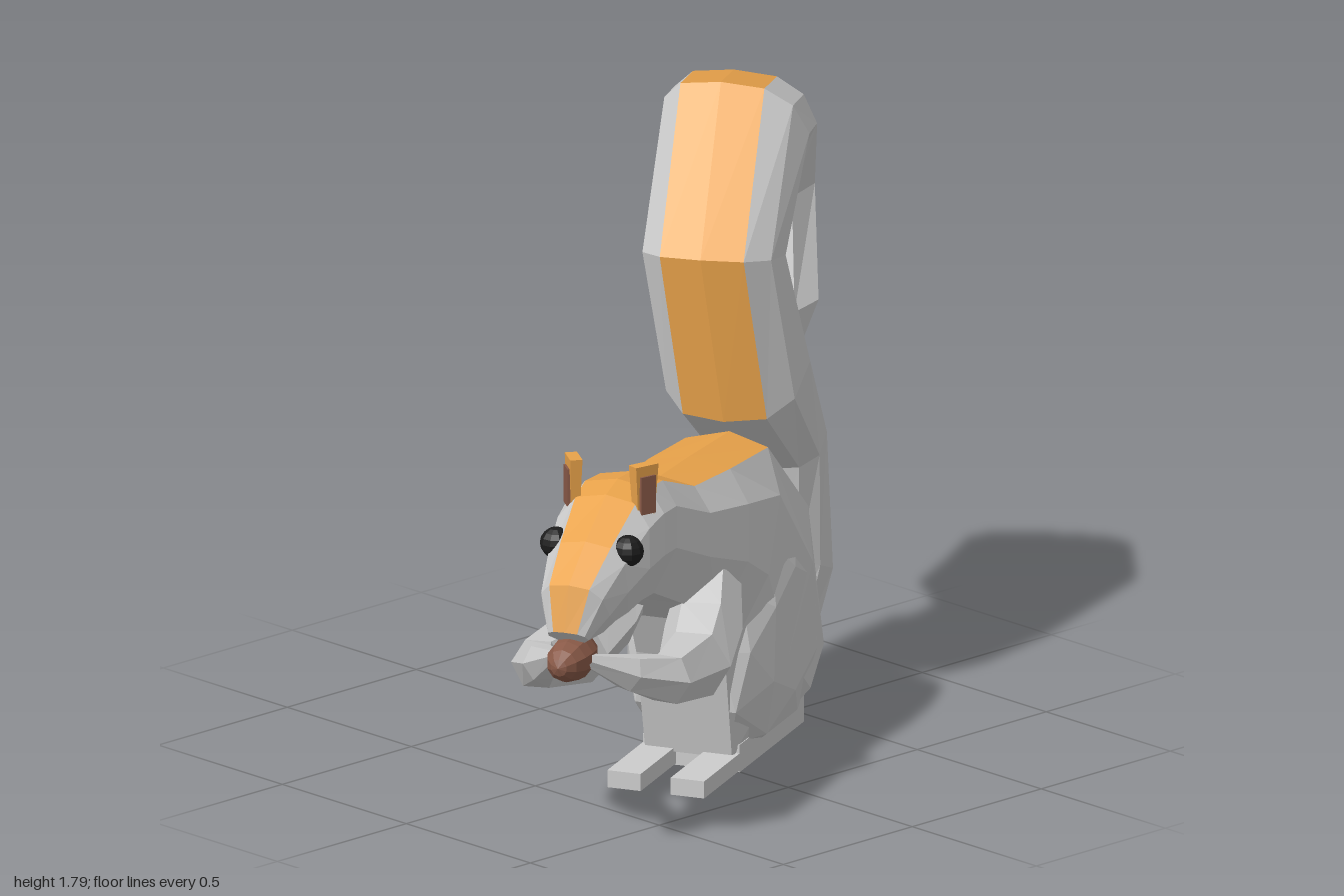
import * as THREE from 'three';

const mat = (color) => new THREE.MeshStandardMaterial({ color, flatShading: true });
const GREY = mat(0xcccccc), ORANGE = mat(0xe8a24a), BROWN = mat(0x8a5a48), BLACK = mat(0x1c1c1c);

function add(parent, name, geometry, material, pos = [0, 0, 0], scale = [1, 1, 1]) {
  const mesh = new THREE.Mesh(geometry, material);
  mesh.name = name;
  mesh.position.set(...pos);
  mesh.scale.set(...scale);
  parent.add(mesh);
}

function facets(points) {
  const g = new THREE.BufferGeometry().setFromPoints(points);
  g.computeVertexNormals();
  return g;
}

// Ring outline from the ridge: [share of half width, share of the way from outer to inner edge]
const half = [[0.6, 0.05], [0.92, 0.25], [1, 0.6], [0.65, 1]];
const OUTLINE = [[0, 0], ...half, ...half.map(([s, t]) => [-s, t]).reverse()];

// Skins rings given as [outer point, inner point, half width];
// the bands beside the ridge from ring stripeFrom onwards become a coloured stripe.
function loft(parent, name, sections, side, stripeFrom) {
  const rings = sections.map(([o, i, w]) => {
    const outer = new THREE.Vector3(...o), inner = new THREE.Vector3(...i);
    return OUTLINE.map(([s, t]) => outer.clone().lerp(inner, t).addScaledVector(side, s * w));
  });
  const grey = [], stripe = [], n = OUTLINE.length;
  for (let i = 0; i < rings.length - 1; i++) {
    for (let j = 0; j < n; j++) {
      const k = (j + 1) % n;
      const a = rings[i][j], b = rings[i][k], c = rings[i + 1][k], d = rings[i + 1][j];
      const onRidge = j === 0 || k === 0;
      (onRidge && i >= stripeFrom ? stripe : grey).push(a, b, c, a, c, d);
    }
  }
  // End caps
  const first = rings[0], last = rings[rings.length - 1];
  for (let j = 1; j < n - 1; j++) {
    grey.push(first[0], first[j + 1], first[j], last[0], last[j], last[j + 1]);
  }
  add(parent, name, facets(grey), GREY);
  add(parent, name + 'Stripe', facets(stripe), ORANGE);
}

// Tapered limb through [x, y, z, radius] joints, six-sided
function limb(parent, name, joints) {
  const rings = joints.map(([x, y, z, r], i) => {
    const p = new THREE.Vector3(x, y, z);
    const prev = joints[Math.max(i - 1, 0)], next = joints[Math.min(i + 1, joints.length - 1)];
    const dir = new THREE.Vector3(next[0] - prev[0], next[1] - prev[1], next[2] - prev[2]).normalize();
    const across = new THREE.Vector3().crossVectors(dir, new THREE.Vector3(0, 1, 0)).normalize();
    const up = new THREE.Vector3().crossVectors(across, dir);
    return Array.from({ length: 6 }, (_, k) => {
      const a = (k * Math.PI) / 3;
      return p.clone().addScaledVector(across, Math.cos(a) * r).addScaledVector(up, Math.sin(a) * r);
    });
  });
  const pts = [];
  for (let i = 0; i < rings.length - 1; i++) {
    for (let j = 0; j < 6; j++) {
      const k = (j + 1) % 6;
      const a = rings[i][j], b = rings[i][k], c = rings[i + 1][k], d = rings[i + 1][j];
      pts.push(a, c, b, a, d, c);
    }
  }
  add(parent, name, facets(pts), GREY);
}

// Faceted ball with flat cheeks, wider towards the ground
function haunchGeometry() {
  const g = new THREE.IcosahedronGeometry(1, 1);
  const p = g.attributes.position;
  for (let i = 0; i < p.count; i++) {
    const y = p.getY(i);
    p.setX(i, p.getX(i) * (y < 0 ? 1 - 0.35 * y : 1));
    p.setZ(i, THREE.MathUtils.clamp(p.getZ(i) * 1.3, -1, 1));
  }
  g.computeVertexNormals();
  return g;
}

export function createModel() {
  const model = new THREE.Group();
  model.name = 'squirrel';

  // Body frame: head towards -x, turned about the vertical
  const body = new THREE.Group();
  body.name = 'bodyGroup';
  body.position.z = 0.145;
  body.rotation.y = THREE.MathUtils.degToRad(25);
  model.add(body);

  // Head, back and rump in one skin
  loft(body, 'body', [
    [[-1.05, 0.69, 0], [-1.0, 0.65, 0], 0.06],
    [[-1.02, 0.82, 0], [-0.92, 0.66, 0], 0.1],
    [[-0.89, 0.91, 0], [-0.87, 0.68, 0], 0.125],
    [[-0.73, 1.0, 0], [-0.81, 0.69, 0], 0.15],
    [[-0.64, 1.02, 0], [-0.72, 0.7, 0], 0.16],
    [[-0.53, 1.01, 0], [-0.62, 0.69, 0], 0.155],
    [[-0.31, 0.93, 0], [-0.42, 0.6, 0], 0.175],
    [[-0.08, 0.92, 0], [-0.21, 0.48, 0], 0.205],
    [[0.2, 0.91, 0.01], [-0.15, 0.35, 0], 0.205],
    [[0.43, 0.68, 0.05], [-0.09, 0.05, 0], 0.2],
    [[0.48, 0.32, 0.05], [0.2, 0.03, 0], 0.19],
    [[0.48, 0.2, 0.04], [0.4, 0.03, 0], 0.14],
  ], new THREE.Vector3(0, 0, 1), 0);

  // Nut held at the mouth
  add(body, 'nut', new THREE.SphereGeometry(1, 10, 8).rotateZ(Math.PI / 2), BROWN, [-0.99, 0.6, 0], [0.115, 0.065, 0.065]);

  for (const s of [1, -1]) {
    const sideName = s > 0 ? 'left' : 'right';
    add(body, sideName + 'Eye', new THREE.SphereGeometry(0.045, 10, 8), BLACK, [-0.84, 0.88, s * 0.108]);

    // Flat ear turned outwards, with a darker inside
    const ear = new THREE.Group();
    ear.name = sideName + 'Ear';
    ear.position.set(-0.71, 1.02, s * 0.105);
    ear.rotation.y = s * 1.0;
    body.add(ear);
    add(ear, 'earShell', new THREE.CylinderGeometry(0.055, 0.04, 0.15, 4).rotateY(Math.PI / 4), ORANGE, [0, 0, 0], [0.45, 1, 1]);
    add(ear, 'earInside', new THREE.BoxGeometry(0.01, 0.11, 0.05), BROWN, [-0.018, -0.01, 0]);

    // Haunch
    add(body, sideName + 'Haunch', haunchGeometry(), GREY, [0.17, 0.365, s * 0.105], [0.3, 0.345, 0.115]);

    // Arm reaching to the nut
    limb(body, sideName + 'Arm', [
      [-0.24, 0.61, s * 0.12, 0.09], [-0.36, 0.52, s * 0.15, 0.11], [-0.51, 0.46, s * 0.18, 0.105],
      [-0.76, 0.49, s * 0.195, 0.075], [-0.89, 0.54, s * 0.13, 0.055], [-1.0, 0.6, s * 0.05, 0.02],
    ]);

    // Flat foot
    add(body, sideName + 'Foot', new THREE.BoxGeometry(0.53, 0.05, 0.1), GREY, [-0.08, 0.035, s * 0.095]);
  }
  add(body, 'heel', new THREE.BoxGeometry(0.5, 0.08, 0.29), GREY, [0.18, 0.045, 0]);

  // Tail: up behind the back, over and down to a tip
  const a = THREE.MathUtils.degToRad(34);
  loft(model, 'tail', [
    [[0.42, 0.2, -0.06], [0.42, 0.07, -0.08], 0.08],
    [[0.51, 0.24, -0.1], [0.58, 0.09, -0.14], 0.1],
    [[0.5, 0.42, -0.11], [0.7, 0.33, -0.22], 0.15],
    [[0.47, 0.7, -0.09], [0.68, 0.81, -0.28], 0.17],
    [[0.21, 0.92, 0.02], [0.53, 1.12, -0.2], 0.2],
    [[0.15, 1.4, -0.01], [0.46, 1.33, -0.23], 0.2],
    [[0.46, 1.8, -0.25], [0.59, 1.54, -0.26], 0.2],
    [[0.76, 1.71, -0.51], [0.76, 1.49, -0.42], 0.2],
    [[0.94, 1.39, -0.62], [0.76, 1.36, -0.44], 0.18],
    [[0.85, 1.1, -0.46], [0.71, 1.05, -0.36], 0.16],
    [[0.76, 0.82, -0.32], [0.75, 0.83, -0.31], 0.01],
  ], new THREE.Vector3(Math.sin(a), 0, Math.cos(a)), 4);

  return model;
}
